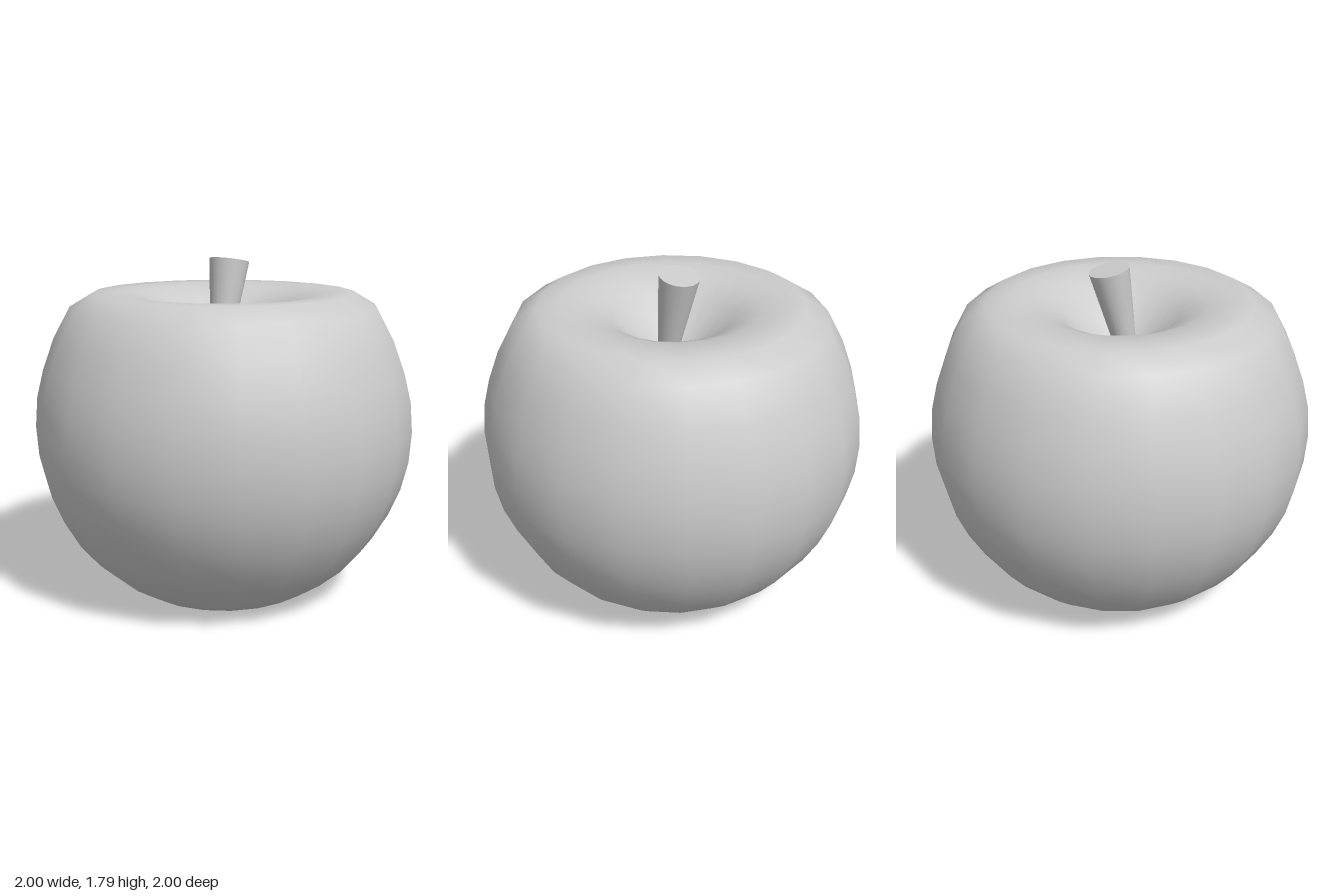
import * as THREE from 'three';

export function createModel() {
  const group = new THREE.Group();
  const material = new THREE.MeshStandardMaterial({ color: 0xcccccc });

  // Body: a round profile, dimpled at both ends, turned in 20 sides
  const profile = [
    [0, 0.1], [0.156, 0.06], [0.35, 0], [0.454, 0.01],
    [0.588, 0.09], [0.707, 0.19], [0.809, 0.31], [0.891, 0.45],
    [0.951, 0.59], [0.988, 0.74], [1, 0.9], [0.988, 1.06],
    [0.951, 1.21], [0.893, 1.37], [0.805, 1.535], [0.685, 1.607],
    [0.57, 1.607], [0.45, 1.59], [0.309, 1.53], [0.156, 1.38], [0, 1.26],
  ].map(([r, y]) => new THREE.Vector2(r, y));
  const body = new THREE.Mesh(new THREE.LatheGeometry(profile, 20), material);
  body.name = 'fruitBody';
  group.add(body);

  // Stem: widens upward and leans to the back, hung from its top centre
  const length = 0.48;
  const stemGeometry = new THREE.CylinderGeometry(0.105, 0.05, length, 24);
  stemGeometry.translate(0, -length / 2, 0);
  const stem = new THREE.Mesh(stemGeometry, material);
  stem.name = 'stem';
  stem.position.set(0, 1.767, -0.055);
  stem.rotation.x = -0.2;
  group.add(stem);

  return group;
}
